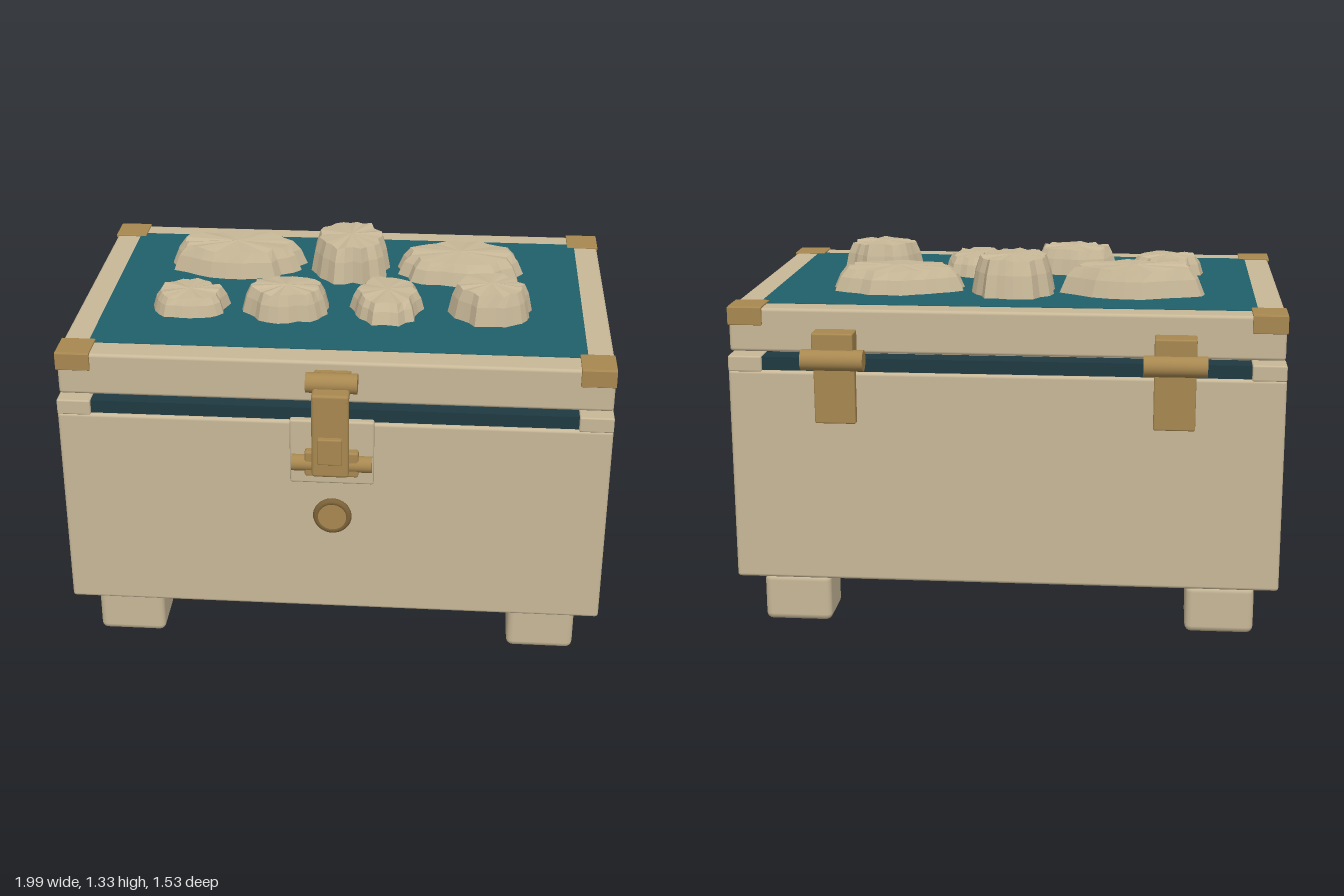
import * as THREE from 'three';
import { RoundedBoxGeometry } from 'three/addons/geometries/RoundedBoxGeometry.js';

const mat = (name, color, extra = {}) => Object.assign(new THREE.MeshStandardMaterial({ color, ...extra }), { name });

export function createModel() {
  const model = new THREE.Group();
  model.name = 'chest';
  const wood = mat('pale wood', 0xc8b898);
  const stone = mat('pale stone', 0xc8b898, { flatShading: true });
  const brass = mat('brass', 0xa88850);
  const darkBrass = mat('dark brass', 0x7c6238);
  const teal = mat('teal', 0x20606a);
  const dark = mat('dark lining', 0x1f3a42);
  const CX = 0.015, CZ = -0.0225;

  const add = (name, geometry, material, parent = model) => {
    const mesh = new THREE.Mesh(geometry, material);
    mesh.name = name;
    parent.add(mesh);
    return mesh;
  };
  // Box given by its limits, with softened edges when r > 0
  const box = (name, [x0, x1], [y0, y1], [z0, z1], material, r = 0.008) => {
    const s = [x1 - x0, y1 - y0, z1 - z0];
    const g = r ? new RoundedBoxGeometry(...s, 2, r) : new THREE.BoxGeometry(...s);
    g.translate((x0 + x1) / 2, (y0 + y1) / 2, (z0 + z1) / 2);
    return add(name, g, material);
  };
  // Cylinder lying along x or z
  const rod = (name, axis, r, length, [x, y, z], material) => {
    const g = new THREE.CylinderGeometry(r, r, length, 28);
    if (axis === 'x') g.rotateZ(Math.PI / 2);
    else g.rotateX(Math.PI / 2);
    return add(name, g.translate(x, y, z), material);
  };

  // Body: front and back walls overlap the ends of the side walls
  box('frontWall', [-0.965, 0.995], [0.195, 0.97], [0.535, 0.63], wood, 0.012);
  box('backWall', [-0.965, 0.995], [0.195, 0.97], [-0.675, -0.58], wood, 0.012);
  box('rightWall', [-0.957, -0.86], [0.195, 0.97], [-0.585, 0.54], wood);
  box('leftWall', [0.89, 0.987], [0.195, 0.97], [-0.585, 0.54], wood);
  box('floor', [-0.945, 0.975], [0.165, 0.23], [-0.58, 0.535], wood, 0.012);

  // Feet and rim corner blocks
  for (const sx of [-1, 1]) for (const sz of [-1, 1]) {
    const fx = CX + sx * 0.775, fz = CZ + sz * 0.48;
    box('foot', [fx - 0.124, fx + 0.124], [0, 0.18], [fz - 0.103, fz + 0.103], wood, 0.025);
    const cx = CX + sx * 0.92, cz = CZ + sz * 0.602;
    box('rimCorner', [cx - 0.06, cx + 0.06], [0.965, 1.022], [cz - 0.05, cz + 0.05], wood, 0.006);
  }

  // Dark lining along the rim
  box('frontLining', [-0.845, 0.875], [0.965, 1.018], [0.535, 0.616], dark, 0);
  box('backLining', [-0.845, 0.875], [0.965, 1.018], [-0.661, -0.58], dark, 0);
  for (const sx of [-1, 1]) {
    const x = CX + sx * 0.92;
    box('sideLining', [x - 0.05, x + 0.05], [0.965, 1.018], [-0.562, 0.52], dark, 0);
  }

  // Lid: frame around a teal panel
  box('lidFrontRail', [-0.96, 0.992], [1.033, 1.19], [0.49, 0.6], wood, 0.012);
  box('lidBackRail', [-0.96, 0.992], [1.033, 1.19], [-0.65, -0.55], wood, 0.012);
  box('lidRightRail', [-0.96, -0.855], [1.033, 1.19], [-0.645, 0.595], wood, 0.012);
  box('lidLeftRail', [0.89, 0.992], [1.033, 1.19], [-0.645, 0.595], wood, 0.012);
  box('lidPanel', [-0.865, 0.9], [1.04, 1.192], [-0.56, 0.5], teal, 0);

  // Brass corner brackets: a plate on top and one on the front or back
  for (const sx of [-1, 1]) for (const sz of [-1, 1]) {
    const x = CX + sx * 0.918, z = CZ + sz * 0.565, zo = CZ - 0.0025 + sz * 0.629;
    box('cornerTop', [x - 0.061, x + 0.061], [1.183, 1.196], [z - 0.062, z + 0.062], brass, 0.003);
    box('cornerFace', [x - 0.061, x + 0.061], [1.13, 1.194], [zo - 0.006, zo + 0.006], brass, 0.003);
  }

  // Latch
  box('latchPlate', [-0.135, 0.163], [0.738, 0.988], [0.625, 0.656], wood, 0.008);
  rod('latchPin', 'x', 0.03, 0.285, [CX, 0.825, 0.662], brass);
  box('latchCatch', [-0.08, 0.11], [0.782, 0.88], [0.65, 0.687], brass, 0.008);
  rod('latchHinge', 'x', 0.036, 0.18, [CX, 1.14, 0.66], brass);
  box('latchMount', [-0.05, 0.08], [1.105, 1.16], [0.595, 0.66], brass, 0.006);
  box('latchArm', [-0.05, 0.08], [1.1, 1.132], [0.655, 0.747], brass, 0.01);
  box('latchStrap', [-0.05, 0.08], [0.812, 1.13], [0.714, 0.747], brass, 0.012);
  box('latchGrip', [-0.028, 0.058], [0.872, 0.972], [0.74, 0.765], brass, 0.005);

  // Round lock below the latch
  rod('lockDisc', 'z', 0.056, 0.03, [CX, 0.6, 0.642], brass);
  add('lockRing', new THREE.TorusGeometry(0.057, 0.013, 10, 40).translate(CX, 0.6, 0.646), darkBrass);

  // Back hinges
  for (const sx of [-1, 1]) {
    const x = CX + sx * 0.595;
    rod('hingeBarrel', 'x', 0.037, 0.22, [x, 1.025, -0.724], brass);
    box('hingeUpperLeaf', [x - 0.073, x + 0.073], [1.03, 1.12], [-0.73, -0.645], brass, 0.006);
    box('hingeLowerLeaf', [x - 0.073, x + 0.073], [0.79, 1.02], [-0.706, -0.673], brass, 0.006);
  }

  // Ring pull on the end wall
  box('ringLug', [-0.982, -0.95], [0.652, 0.74], [-0.075, 0.015], brass, 0.012);
  add('ringPull', new THREE.TorusGeometry(0.06, 0.011, 10, 36).rotateY(Math.PI / 2).translate(-0.989, 0.622, -0.03), darkBrass);

  // Rocks: jagged ovals tapering to a slightly domed top
  let seed = 11;
  const rand = () => (seed = (seed * 16807) % 2147483647) / 2147483647;
  const rock = (x0, x1, z0, z1, top) => {
    const n = 26, rx = (x1 - x0) / 2, rz = (z1 - z0) / 2, pos = [], index = [];
    const rough = Array.from({ length: n }, () => 0.84 + 0.18 * rand());
    const levels = [[1, 1.188], [0.9, 1.188 + (top - 1.188) * 0.6], [0.79, top - 0.006]];
    for (const [s, y] of levels) for (let i = 0; i < n; i++) {
      const a = (i / n) * Math.PI * 2, k = s * rough[i];
      pos.push(Math.cos(a) * rx * k, y + (s < 0.8 ? (rand() - 0.5) * 0.01 : 0), Math.sin(a) * rz * k);
    }
    pos.push(0, top, 0);
    for (let i = 0; i < n; i++) {
      const j = (i + 1) % n;
      for (const b of [0, n]) index.push(b + i, b + n + i, b + j, b + j, b + n + i, b + n + j);
      index.push(2 * n + i, 3 * n, 2 * n + j);
    }
    let g = new THREE.BufferGeometry();
    g.setAttribute('position', new THREE.Float32BufferAttribute(pos, 3));
    g.setIndex(index);
    g = g.toNonIndexed();
    g.computeVertexNormals();
    add('rock', g.translate((x0 + x1) / 2, 0, (z0 + z1) / 2), stone);
  };
  rock(-0.71, -0.14, -0.41, -0.09, 1.295);
  rock(-0.14, 0.18, -0.46, -0.07, 1.33);
  rock(0.19, 0.7, -0.41, -0.07, 1.28);
  rock(-0.7, -0.4, 0.03, 0.29, 1.265);
  rock(-0.36, -0.02, 0.04, 0.3, 1.295);
  rock(0.04, 0.32, -0.05, 0.3, 1.27);
  rock(0.4, 0.72, 0, 0.28, 1.31);

  return model;
}
